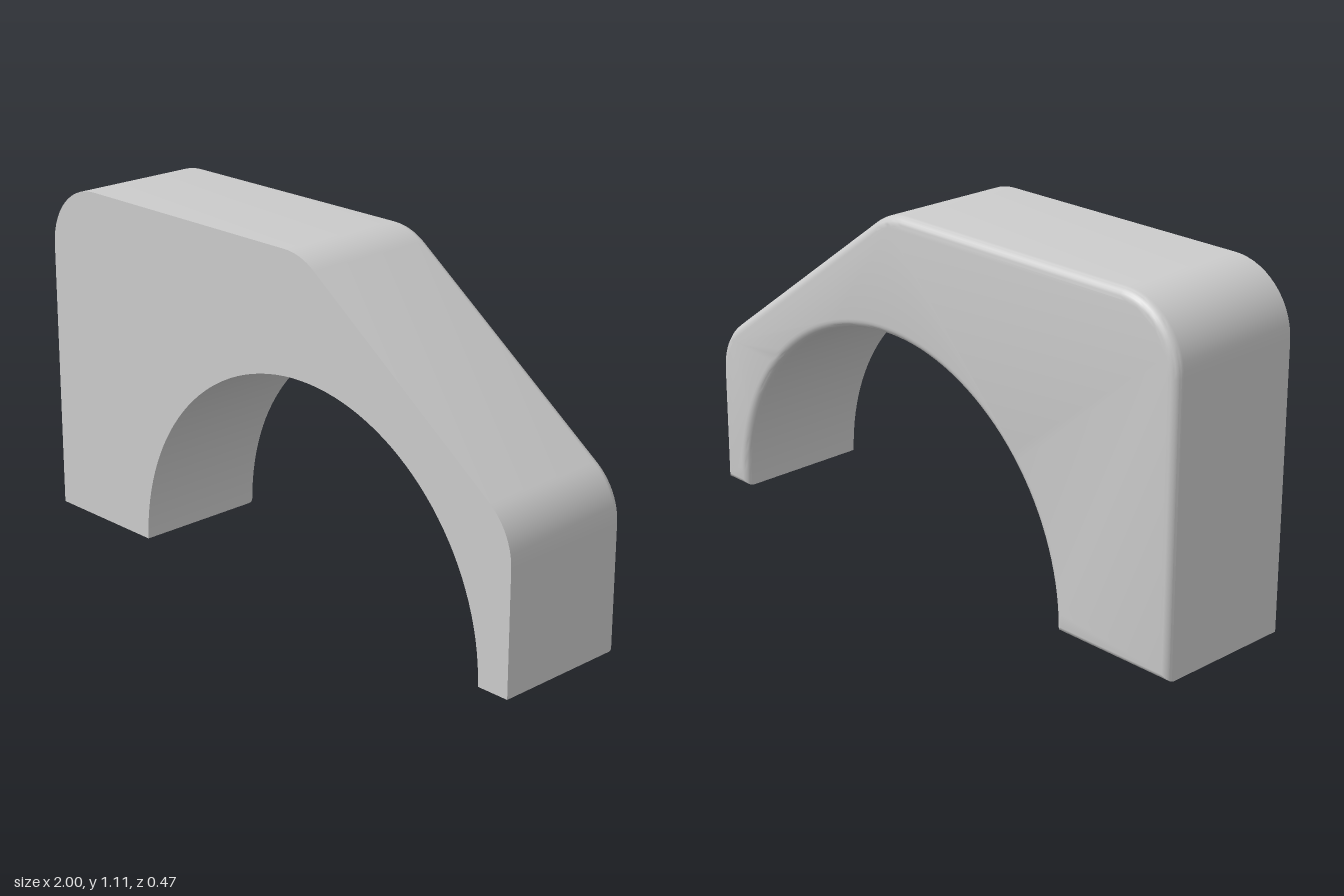
import * as THREE from 'three';
import { toCreasedNormals } from 'three/addons/utils/BufferGeometryUtils.js';

const HALF_DEPTH = 0.234, BEVEL = 0.03, FILLET = 0.21, ARCH_X = 0.165, ARCH_R = 0.725;
const SLOPE = Math.atan2(0.693, 0.505); // direction of the sloping edge's normal

// Counter-clockwise outline, shrunk inwards by d
function outline(d) {
  const points = [];
  const arc = (cx, cy, r, from, to, steps) => {
    for (let i = 0; i <= steps; i++) {
      const a = from + (to - from) * i / steps;
      points.push(new THREE.Vector2(cx + r * Math.cos(a), cy + r * Math.sin(a)));
    }
  };
  points.push(new THREE.Vector2(1 - d, d));
  arc(0.79, 0.395, FILLET - d, 0, SLOPE, 10);                 // low right corner
  arc(0.097, 0.9, FILLET - d, SLOPE, Math.PI / 2, 8);         // top of the slope
  arc(-0.79, 0.9, FILLET - d, Math.PI / 2, Math.PI, 14);      // top left corner
  points.push(new THREE.Vector2(-1 + d, d));
  const foot = Math.asin(d / (ARCH_R + d));
  arc(ARCH_X, 0, ARCH_R + d, Math.PI - foot, foot, 64);       // arched opening
  return points;
}

// Skin through the outlines, with a flat cap at each end
function loft(sections) {
  const positions = [], index = [];
  for (const { points, z } of sections) for (const p of points) positions.push(p.x, p.y, z);
  const n = sections[0].points.length, last = (sections.length - 1) * n;
  for (let s = 0; s < last; s += n) {
    for (let i = 0; i < n; i++) {
      const j = (i + 1) % n;
      index.push(s + i, s + n + i, s + n + j, s + i, s + n + j, s + j);
    }
  }
  for (const [a, b, c] of THREE.ShapeUtils.triangulateShape(sections[0].points, [])) index.push(a, b, c);
  for (const [a, b, c] of THREE.ShapeUtils.triangulateShape(sections.at(-1).points, [])) {
    index.push(last + c, last + b, last + a);
  }
  const geometry = new THREE.BufferGeometry();
  geometry.setAttribute('position', new THREE.Float32BufferAttribute(positions, 3));
  geometry.setIndex(index);
  return toCreasedNormals(geometry, 0.5);
}

export function createModel() {
  const group = new THREE.Group();
  group.name = 'archedCover';

  // Sharp front edge, rounded back edge
  const sections = [{ points: outline(0), z: HALF_DEPTH }];
  const steps = 6;
  for (let i = 0; i <= steps; i++) {
    const a = (i / steps) * Math.PI / 2;
    sections.push({
      points: outline(BEVEL * (1 - Math.cos(a))),
      z: -HALF_DEPTH + BEVEL * (1 - Math.sin(a)),
    });
  }
  const body = new THREE.Mesh(loft(sections), new THREE.MeshStandardMaterial({ color: 0xcccccc }));
  body.name = 'archBody';
  group.add(body);
  return group;
}
